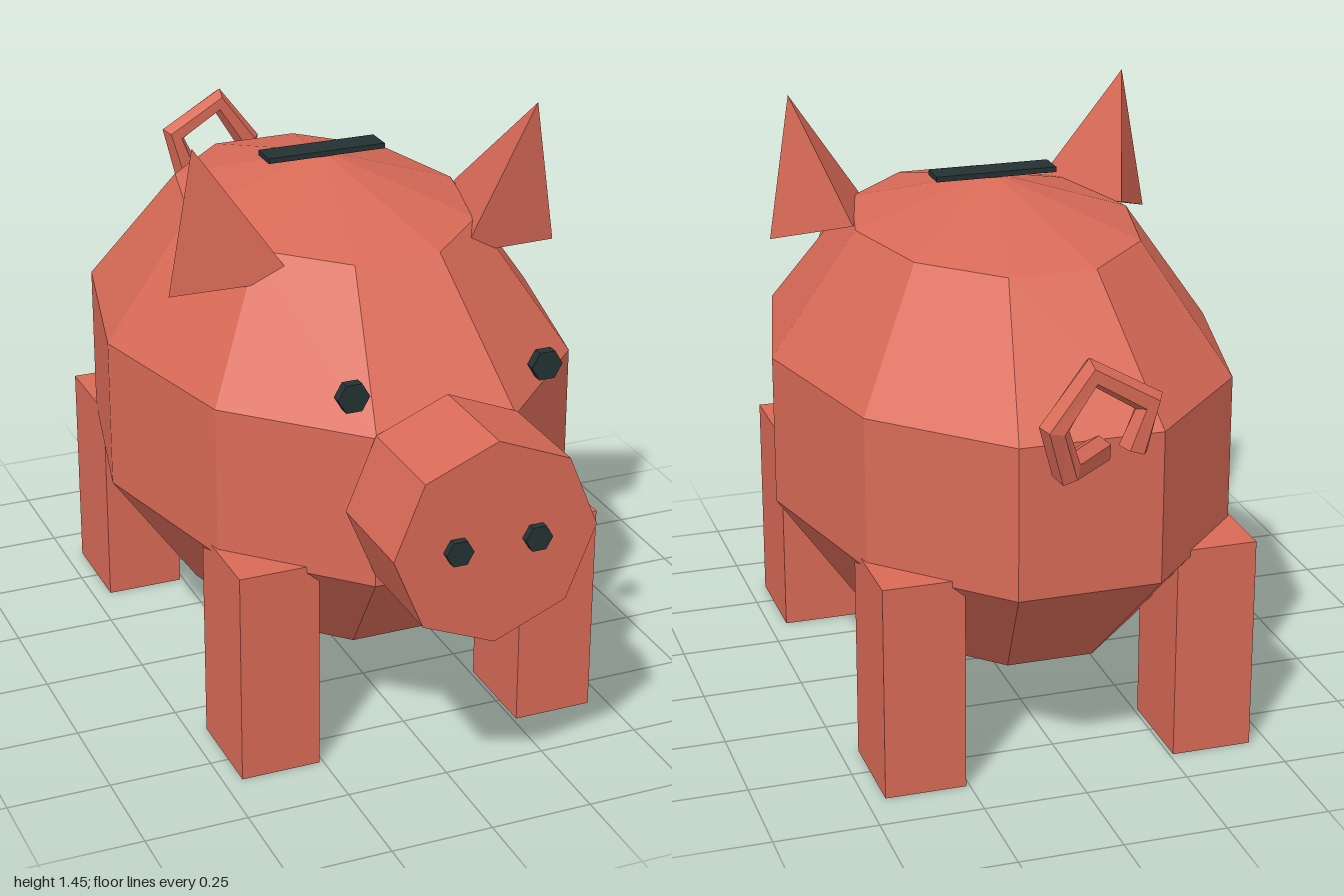
import * as THREE from 'three';
import { ConvexGeometry } from 'three/addons/geometries/ConvexGeometry.js';

const V = (x, y, z) => new THREE.Vector3(x, y, z);

// Straight-segment path, sampled exactly at its corners
class Polyline extends THREE.Curve {
  constructor(points) { super(); this.points = points; }
  getPoint(t, target = new THREE.Vector3()) {
    const n = this.points.length - 1;
    const i = Math.min(Math.floor(t * n + 1e-9), n - 1);
    return target.lerpVectors(this.points[i], this.points[i + 1], t * n - i);
  }
  getPointAt(u, target) { return this.getPoint(u, target); }
  getTangentAt(u, target) { return this.getTangent(u, target); }
}

export function createModel() {
  const model = new THREE.Group();
  const pink = new THREE.MeshStandardMaterial({ name: 'salmon pink', color: 0xd96a57, flatShading: true });
  const dark = new THREE.MeshStandardMaterial({ name: 'dark slate', color: 0x243133, flatShading: true });

  const add = (name, geometry, material, x = 0, y = 0, z = 0) => {
    const mesh = new THREE.Mesh(geometry, material);
    mesh.name = name;
    mesh.position.set(x, y, z);
    model.add(mesh);
    return mesh;
  };
  // Cylinder along z with a corner pointing along +x
  const disc = (radius, depth, sides) =>
    new THREE.CylinderGeometry(radius, radius, depth, sides).rotateY(Math.PI / 2).rotateX(Math.PI / 2);

  // Faceted barrel body and snout
  add('body', new THREE.SphereGeometry(1, 10, 5).scale(0.583, 0.6, 0.813), pink, 0, 0.7, -0.02);
  add('snout', disc(0.245, 0.265, 8), pink, 0, 0.72, 0.8475);

  // Coin slot on the back
  add('coinSlot', new THREE.BoxGeometry(0.3, 0.013, 0.07), dark, 0, 1.303, -0.02);

  for (const s of [1, -1]) {
    const side = s > 0 ? 'left' : 'right';
    add(side + 'Eye', disc(0.038, 0.025, 6), dark, s * 0.235, 1.003, 0.724);
    add(side + 'Nostril', disc(0.033, 0.02, 6), dark, s * 0.095, 0.72, 0.988);
    add(side + 'FrontLeg', new THREE.BoxGeometry(0.196, 0.53, 0.245), pink, s * 0.357, 0.265, 0.472);
    add(side + 'BackLeg', new THREE.BoxGeometry(0.196, 0.53, 0.245), pink, s * 0.357, 0.265, -0.513);

    // Three-sided pyramid ear, partly sunk into the head
    add(side + 'Ear', new ConvexGeometry([
      V(s * 0.432, 1.453, 0.265), V(s * 0.49, 1.097, 0.25),
      V(s * 0.212, 1.13, 0.335), V(s * 0.341, 1.187, 0.007),
    ]), pink);
  }

  // Curly tail with closed ends
  const tail = [
    V(0, 0.875, -0.79), V(0.125, 0.9, -0.938), V(0.163, 1.01, -0.965),
    V(0.08, 1.128, -0.965), V(-0.05, 1.05, -0.965), V(-0.015, 0.945, -0.965),
  ];
  add('tail', new THREE.TubeGeometry(new Polyline(tail), tail.length - 1, 0.034, 6), pink);
  for (const [end, next] of [[0, 1], [5, 4]]) {
    const cap = add('tailEnd', new THREE.CircleGeometry(0.034, 6), pink, ...tail[end].toArray());
    cap.lookAt(tail[end].clone().multiplyScalar(2).sub(tail[next]));
  }
  return model;
}
